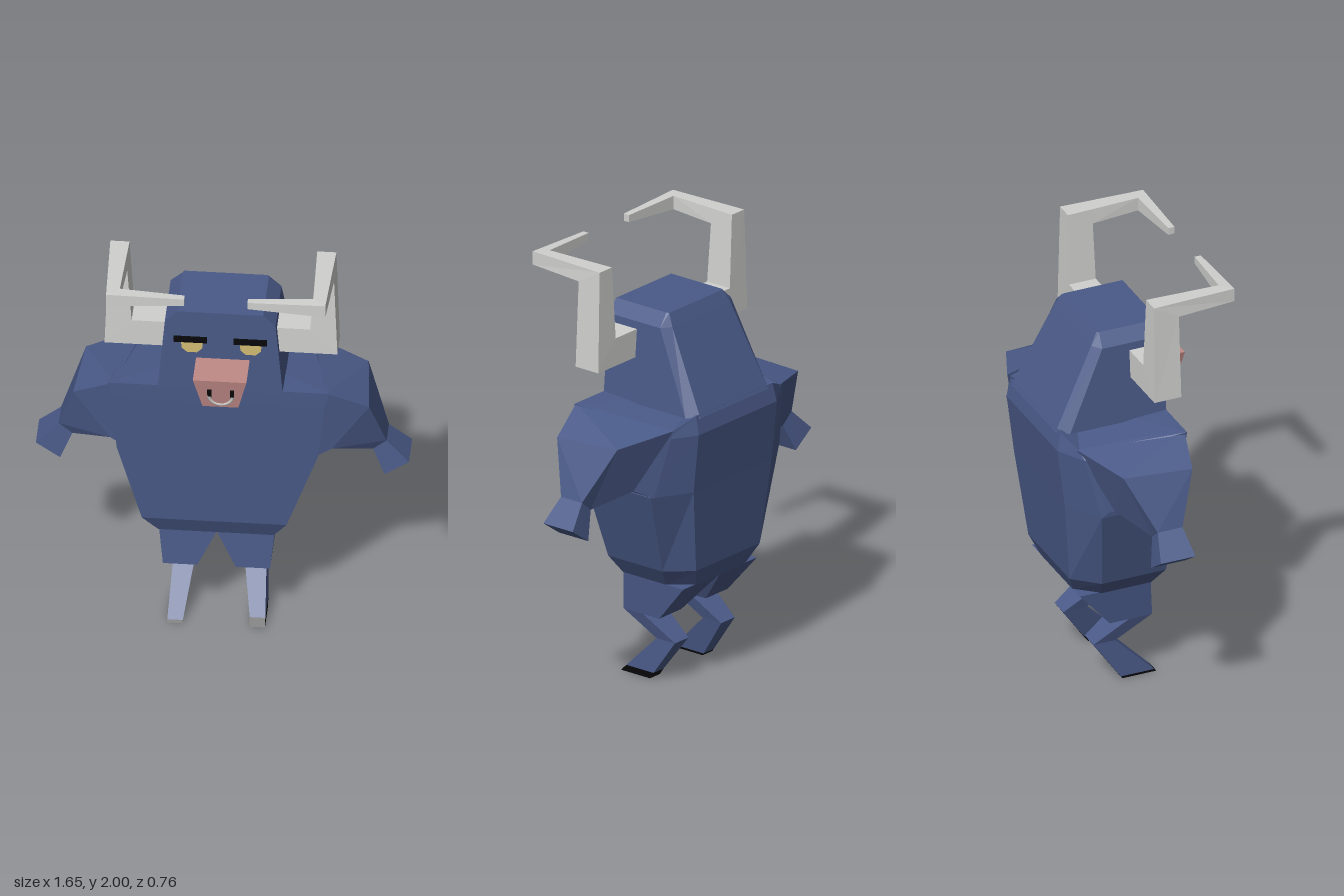
import * as THREE from 'three';

const flat = (name, color) => {
  const m = new THREE.MeshStandardMaterial({ color });
  m.name = name;
  return m;
};

// Closed faceted solid through rings of [x, y, z] corners, always wound outward.
function loft(rings, side = 1) {
  const P = rings.map(r => r.map(([x, y, z]) => new THREE.Vector3(x * side, y, z)));
  const tris = [];
  const n = P[0].length;
  for (let i = 0; i < P.length - 1; i++) {
    for (let j = 0; j < n; j++) {
      const k = (j + 1) % n;
      const [a, b, c, d] = [P[i][j], P[i][k], P[i + 1][k], P[i + 1][j]];
      tris.push([a, b, c], [a, c, d]);
    }
  }
  const cap = (ring, flip) => {
    const mid = ring.reduce((s, p) => s.add(p), new THREE.Vector3()).divideScalar(n);
    for (let j = 0; j < n; j++) {
      const k = (j + 1) % n;
      tris.push(flip ? [mid, ring[k], ring[j]] : [mid, ring[j], ring[k]]);
    }
  };
  cap(P[0], true);
  cap(P[P.length - 1], false);
  const volume = tris.reduce((s, [a, b, c]) => s + a.dot(b.clone().cross(c)), 0);
  if (volume < 0) tris.forEach(t => t.reverse());
  const g = new THREE.BufferGeometry().setFromPoints(tris.flat());
  g.computeVertexNormals();
  return g;
}

// Six-cornered body ring: square at the front, bevelled at the back.
const bodyRing = (cx, y, w, zFront, zSide, wBack, zBack, wSide = w, ySide = y) => [
  [cx - w, y, zFront], [cx + w, y, zFront], [cx + wSide, ySide, zSide],
  [cx + wBack, y, zBack], [cx - wBack, y, zBack], [cx - wSide, ySide, zSide],
];

// Level rectangle used for the legs.
const rect = (x0, x1, y, z0, z1) => [[x0, y, z0], [x1, y, z0], [x1, y, z1], [x0, y, z1]];

export function createModel() {
  const model = new THREE.Group();
  const hide = flat('hide blue', 0x4a5a88);
  const horn = flat('horn grey', 0xd0d0ce);
  const skin = flat('muzzle pink', 0xc08a86);
  const black = flat('black', 0x08080a);
  const yellow = flat('eye yellow', 0xd2bd74);
  const silver = flat('ring silver', 0xd8d4d2);

  const add = (name, geometry, material, parent = model) => {
    const mesh = new THREE.Mesh(geometry, material);
    mesh.name = name;
    parent.add(mesh);
    return mesh;
  };

  // Torso, widening from the hips to the shoulders
  add('torso', loft([
    bodyRing(-0.025, 0.48, 0.255, 0.07, -0.17, 0.17, -0.27),
    bodyRing(-0.03, 0.57, 0.32, 0.11, -0.2, 0.22, -0.31),
    bodyRing(-0.015, 0.97, 0.445, 0.13, -0.25, 0.27, -0.35),
    bodyRing(-0.01, 1.25, 0.47, 0.143, -0.31, 0.27, -0.383, 0.40),
    bodyRing(-0.008, 1.335, 0.49, 0.145, -0.32, 0.265, -0.365, 0.37, 1.285),
  ]), hide);

  // Head with a sloping back and bevelled crown
  add('head', loft([
    bodyRing(0, 1.32, 0.277, 0.146, -0.32, 0.235, -0.372),
    bodyRing(0, 1.695, 0.245, 0.146, -0.15, 0.2, -0.183),
    bodyRing(0, 1.75, 0.19, 0.146, -0.14, 0.185, -0.152),
  ]), hide);

  // Muzzle, tapering downward
  add('muzzle', loft([
    rect(-0.067, 0.092, 1.34, 0.14, 0.285),
    rect(-0.107, 0.13, 1.5, 0.14, 0.313),
  ]), skin);

  // Nostrils and nose ring lie on the tilted front of the muzzle
  const nose = new THREE.Group();
  nose.name = 'nose';
  nose.position.set(0.015, 1.42, 0.299);
  nose.rotation.x = 0.17;
  model.add(nose);
  for (const s of [-1, 1]) {
    const nostril = add('nostril', new THREE.BoxGeometry(0.018, 0.05, 0.004), black, nose);
    nostril.position.set(s * 0.05, 0.003, 0.001);
  }
  const noseRing = add('noseRing', new THREE.TorusGeometry(0.052, 0.008, 4, 10, Math.PI), silver, nose);
  noseRing.rotation.z = Math.PI;
  noseRing.position.set(0, -0.012, 0.003);
  noseRing.scale.z = 0.4;

  for (const s of [-1, 1]) {
    const sideName = s > 0 ? 'left' : 'right';

    // Half-closed eye under a heavy brow
    const eyeShape = new THREE.Shape([
      [-0.05, 0.035], [-0.045, -0.012], [-0.022, -0.034],
      [0.022, -0.034], [0.045, -0.012], [0.05, 0.035],
    ].map(p => new THREE.Vector2(...p)));
    const eye = add(sideName + 'Eye',
      new THREE.ExtrudeGeometry(eyeShape, { depth: 0.004, bevelEnabled: false }), yellow);
    eye.position.set(0.005 + s * 0.13, 1.565, 0.145);
    const brow = add(sideName + 'Brow', new THREE.BoxGeometry(0.148, 0.03, 0.008), black);
    brow.position.set(s * 0.133, 1.601, 0.149);

    // Horn: outward, up, forward, then inward to a thin tip
    add(sideName + 'Horn', loft([
      [[0.23, 1.53, 0.11], [0.23, 1.66, 0.11], [0.23, 1.66, -0.02], [0.23, 1.53, -0.02]],
      [[0.515, 1.53, 0.11], [0.395, 1.66, 0.11], [0.395, 1.66, -0.02], [0.515, 1.53, -0.02]],
      [[0.5, 1.93, 0.105], [0.415, 1.93, 0.105], [0.415, 2, -0.015], [0.5, 2, -0.015]],
      [[0.485, 1.937, 0.38], [0.428, 1.937, 0.33], [0.428, 2, 0.33], [0.485, 2, 0.38]],
      [[0.14, 1.958, 0.375], [0.14, 1.958, 0.345], [0.14, 1.992, 0.345], [0.14, 1.992, 0.375]],
    ], s), horn);

    // Arm from the sloping shoulder to the wrist
    const wrist = [[0.725, 1.0, 0.02], [0.725, 1.0, -0.1], [0.665, 0.95, -0.1], [0.665, 0.95, 0.02]];
    add(sideName + 'Arm', loft([
      [[0.47, 1.335, 0.144], [0.37, 1.29, -0.33], [0.42, 0.97, -0.26], [0.42, 0.97, 0.125]],
      [[0.655, 1.24, 0.1], [0.625, 1.25, -0.22], [0.49, 1.01, -0.2], [0.49, 1.01, 0.115]],
      wrist,
    ], s), hide);

    // Blocky fist
    add(sideName + 'Fist', loft([
      wrist,
      [[0.825, 0.9, 0.038], [0.825, 0.9, -0.13], [0.718, 0.825, -0.13], [0.718, 0.825, 0.038]],
    ], s), hide);

    // Leg: thigh, backward-bent shank and hoof
    const leg = new THREE.Group();
    leg.name = sideName + 'Leg';
    leg.position.x = -0.022;
    model.add(leg);
    add('thigh', loft([
      rect(0, 0.255, 0.485, -0.272, 0.07),
      rect(0.085, 0.237, 0.305, -0.12, 0.085),
    ], s), hide, leg);
    const hoofY = s > 0 ? 0.03 : 0.01;
    const ankle = rect(0.147, 0.216, hoofY, -0.05 - hoofY * 0.67, 0.115 - hoofY);
    add('shank', loft([
      rect(0.085, 0.237, 0.306, -0.025, 0.085),
      rect(0.113, 0.207, 0.195, -0.185, -0.08),
      ankle,
    ], s), hide, leg);
    add('hoof', loft([ankle, rect(0.148, 0.217, 0, -0.05, 0.115)], s), black, leg);
  }

  return model;
}
